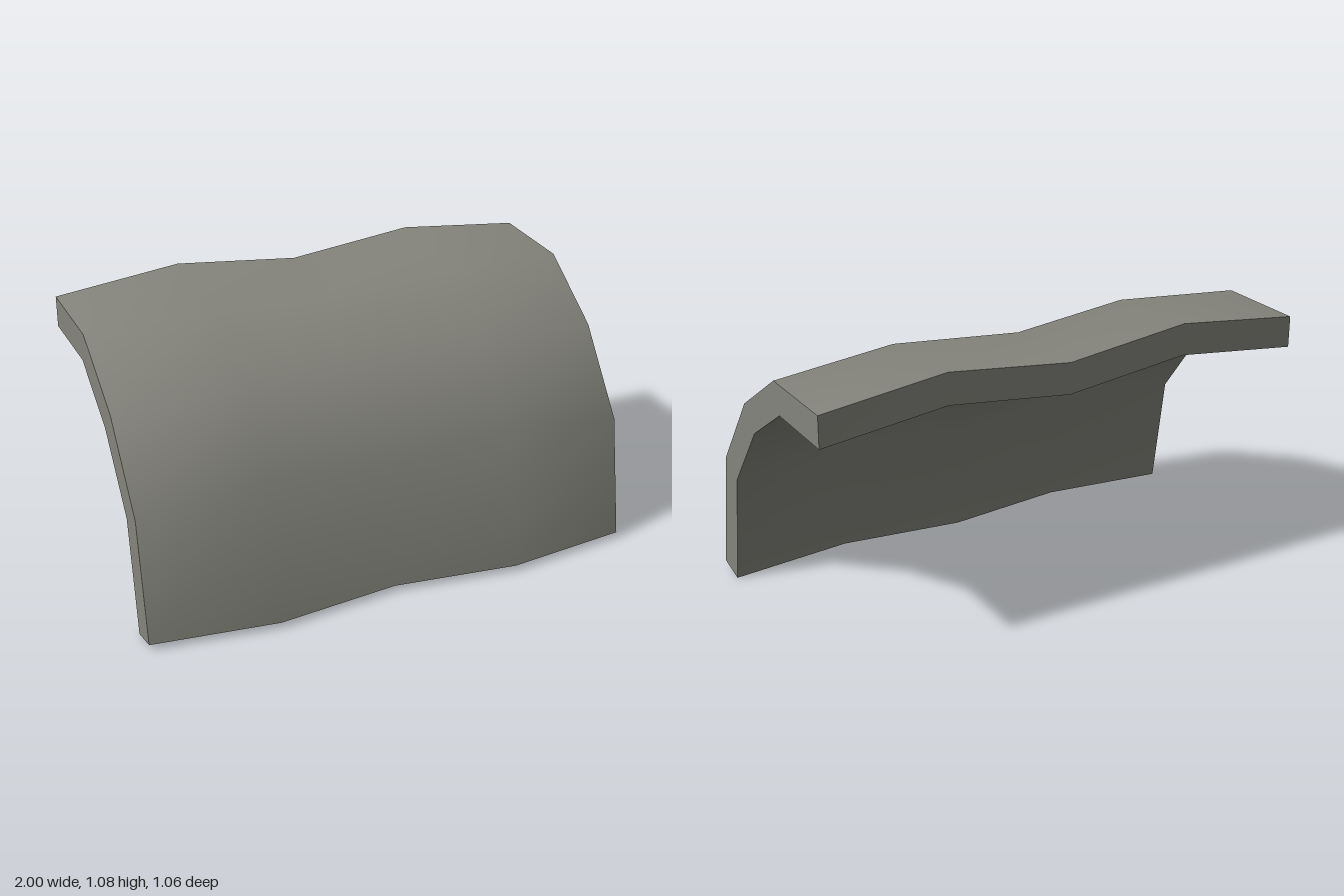
import * as THREE from 'three';

// Each cross-section lists [z, y] from the front bottom edge to the back top edge.
const valley = {
  outer: [[0.47, 0.025], [0.39, 0.51], [0.15, 0.825], [-0.15, 1.02], [-0.53, 1.025]],
  inner: [[0.35, 0], [0.28, 0.46], [0.065, 0.735], [-0.19, 0.9], [-0.53, 0.9]],
};
const ridge = {
  outer: [[0.53, 0.025], [0.415, 0.57], [0.18, 0.855], [-0.095, 1.048], [-0.525, 1.083]],
  inner: [[0.41, 0], [0.305, 0.52], [0.095, 0.765], [-0.135, 0.928], [-0.527, 0.958]],
};
const stations = [[-1, valley], [-0.5, ridge], [0, valley], [0.5, ridge], [1, valley]];

// Surface through rows of points, smooth within itself.
function surface(rows) {
  const n = rows[0].length;
  const index = [];
  for (let j = 0; j < rows.length - 1; j++) {
    for (let i = 0; i < n - 1; i++) {
      const a = j * n + i;
      index.push(a, a + 1, a + n + 1, a, a + n + 1, a + n);
    }
  }
  const g = new THREE.BufferGeometry();
  g.setAttribute('position', new THREE.Float32BufferAttribute(rows.flat(2), 3));
  g.setIndex(index);
  g.computeVertexNormals();
  return g;
}

export function createModel() {
  const group = new THREE.Group();
  group.name = 'curvedWavyPanel';
  const grey = new THREE.MeshStandardMaterial({ color: 0x85857d });
  grey.name = 'warm grey';

  const add = (name, rows) => {
    const mesh = new THREE.Mesh(surface(rows), grey);
    mesh.name = name;
    group.add(mesh);
  };
  const point = (x, [z, y]) => [x, y, z];
  // Row of points running along x on one side of the panel
  const row = (side, j) => stations.map(([x, section]) => point(x, section[side][j]));
  const steps = [0, 1, 2, 3, 4];

  // Broad curved faces
  add('outerSkin', steps.map((j) => row('outer', j)));
  add('innerSkin', steps.map((j) => row('inner', 4 - j)));

  // Thickness along the bottom and top edges
  add('bottomEdge', [row('inner', 0), row('outer', 0)]);
  add('topEdge', [row('outer', 4), row('inner', 4)]);

  // Flat ends
  add('leftEnd', steps.map((j) => [point(1, valley.outer[j]), point(1, valley.inner[j])]));
  add('rightEnd', steps.map((j) => [point(-1, valley.inner[j]), point(-1, valley.outer[j])]));
  return group;
}
